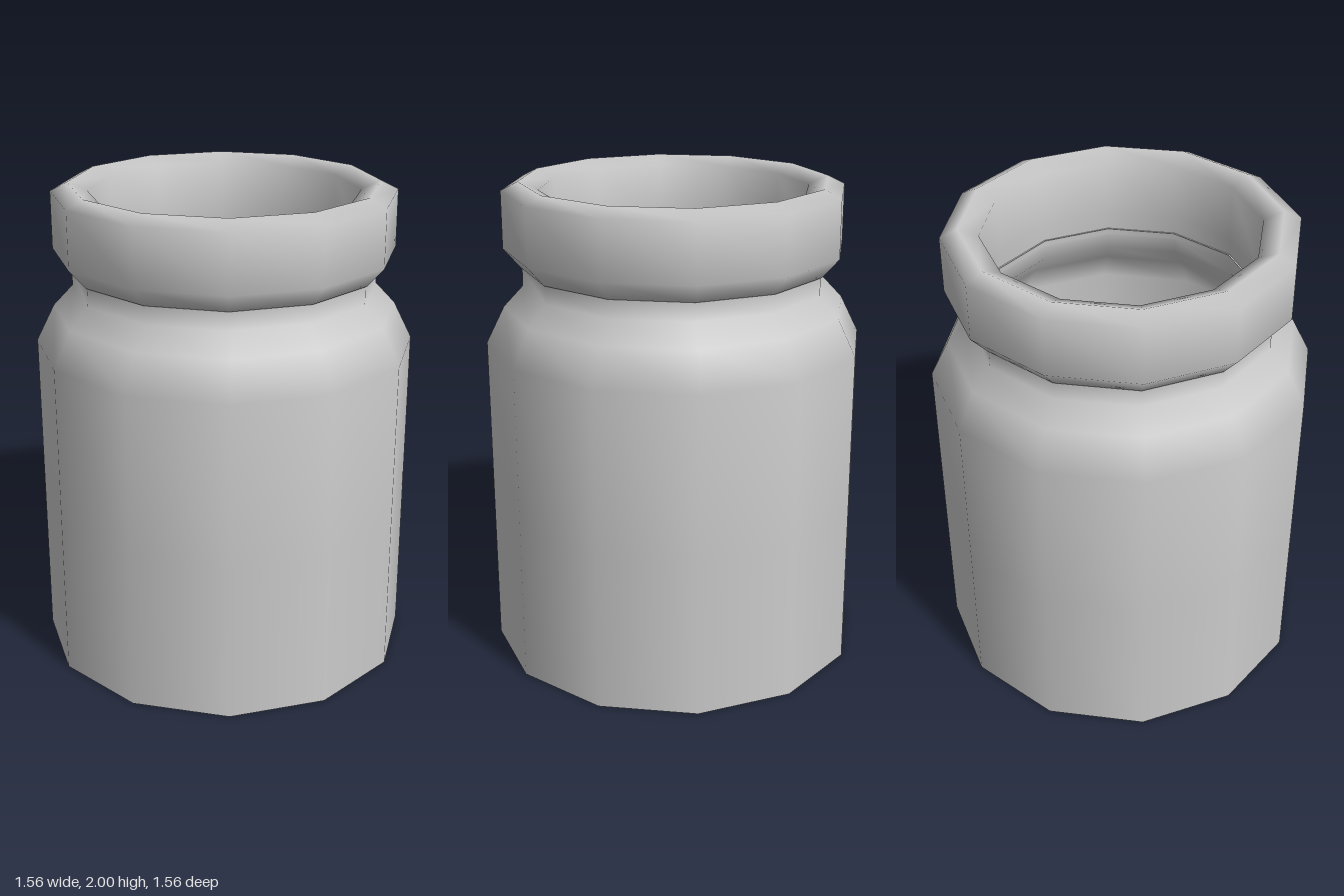
import * as THREE from 'three';

const SIDES = 12;
const material = new THREE.MeshStandardMaterial({ color: 0xcccccc, side: THREE.DoubleSide });

function add(parent, name, geometry) {
  const mesh = new THREE.Mesh(geometry, material);
  mesh.name = name;
  parent.add(mesh);
  return mesh;
}

function lathe(points, sides = SIDES) {
  return new THREE.LatheGeometry(points.map(([r, y]) => new THREE.Vector2(r, y)), sides);
}

function tube(points, radius, segments) {
  const path = new THREE.CatmullRomCurve3(points.map((p) => new THREE.Vector3(...p)));
  return new THREE.TubeGeometry(path, segments, radius, 6);
}

export function createModel() {
  const model = new THREE.Group();

  // Jar: base, outer wall with shoulder and neck, rolled lip, hollow inside
  const jar = new THREE.Group();
  jar.name = 'jar';
  model.add(jar);
  add(jar, 'jarBase', lathe([[0, 0], [0.78, 0]]));
  add(jar, 'jarWall', lathe([
    [0.78, 0], [0.78, 0.67], [0.78, 1.34], [0.705, 1.49], [0.625, 1.575], [0.625, 1.65],
  ]));
  add(jar, 'jarLip', lathe([
    [0.55, 1.65], [0.63, 1.65], [0.70, 1.73], [0.70, 1.965], [0.63, 2.0], [0.55, 1.965],
    [0.55, 1.73], [0.56, 1.62],
  ]));
  add(jar, 'jarInnerWall', lathe([
    [0.56, 1.62], [0.57, 1.55], [0.64, 1.46], [0.72, 1.32], [0.72, 0.06],
  ]));
  add(jar, 'jarFloor', lathe([[0.72, 0.06], [0, 0.06]]));

  // Rounded specimen held inside the jar, with a pipe at each side
  const specimen = new THREE.Group();
  specimen.name = 'specimen';
  model.add(specimen);

  const bodyGeometry = lathe([
    [0, -0.42], [0.45, -0.36], [0.8, -0.18], [1, 0.04], [0.88, 0.24], [0.5, 0.36], [0, 0.4],
  ], 8);
  // Square off the oval cross-section along its length
  const pos = bodyGeometry.attributes.position;
  for (let i = 0; i < pos.count; i++) {
    const x = pos.getX(i), z = pos.getZ(i);
    const diagonal = Math.abs(x * z) > 0.01;
    pos.setX(i, x * 0.37 * (diagonal ? 1.18 : 1));
    pos.setZ(i, z * 0.275 * (diagonal ? 0.92 : 1));
  }
  bodyGeometry.computeVertexNormals();
  const body = add(specimen, 'specimenBody', bodyGeometry);
  body.position.set(0.035, 0.8, 0);
  body.rotation.y = 0.04;

  add(specimen, 'specimenBentPipe', tube([
    [-0.18, 0.85, -0.02], [-0.32, 0.93, -0.05], [-0.34, 1.05, -0.1], [-0.31, 1.16, -0.11],
  ], 0.1, 5));
  add(specimen, 'specimenSidePipe', tube([
    [0.28, 0.84, -0.02], [0.42, 0.85, 0], [0.53, 0.89, 0.01],
  ], 0.1, 3));

  return model;
}
